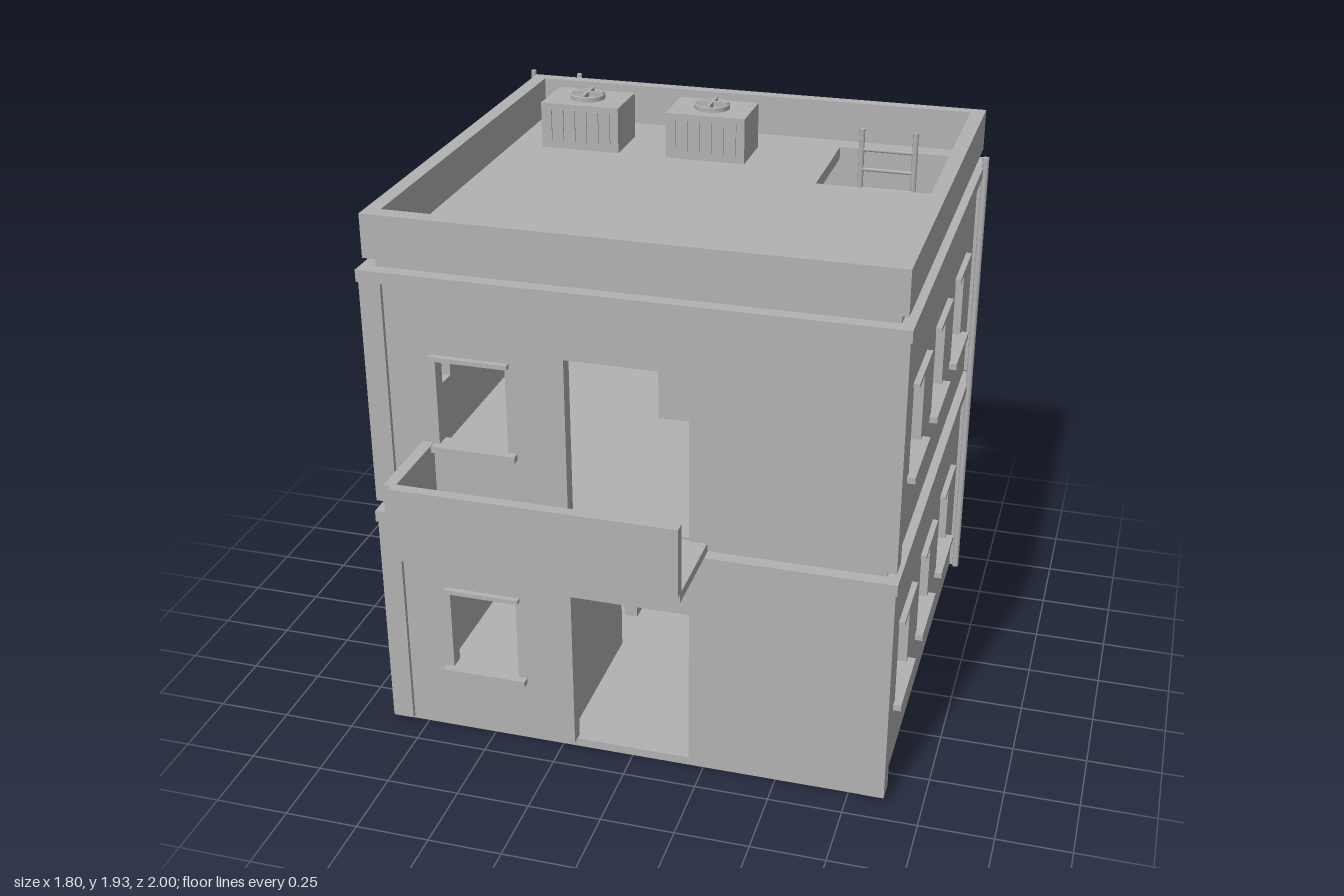
import * as THREE from 'three';

const CX = 0.005, CZ = -0.135;      // centre of the building
const HX = 0.87, HZ = 0.815;        // half sizes to the face of the corner posts
const RECESS = 0.015, THICK = 0.05; // wall panel inset and thickness
const FLOOR_H = 0.82;

const concrete = new THREE.MeshStandardMaterial({ color: 0xb2b2b2 });
concrete.name = 'concrete grey';

function add(parent, name, geometry) {
  const mesh = new THREE.Mesh(geometry, concrete);
  mesh.name = name;
  parent.add(mesh);
  return mesh;
}

// Box given by its limits on each axis
function box(parent, name, x0, x1, y0, y1, z0, z1) {
  const m = add(parent, name, new THREE.BoxGeometry(x1 - x0, y1 - y0, z1 - z0));
  m.position.set((x0 + x1) / 2, (y0 + y1) / 2, (z0 + z1) / 2);
  return m;
}

// Round bar between two points
function bar(parent, name, a, b, r, sides = 8) {
  const p = new THREE.Vector3(...a), q = new THREE.Vector3(...b);
  const m = add(parent, name, new THREE.CylinderGeometry(r, r, p.distanceTo(q), sides));
  m.position.copy(p).add(q).multiplyScalar(0.5);
  m.quaternion.setFromUnitVectors(new THREE.Vector3(0, 1, 0), q.sub(p).normalize());
  return m;
}

function rect(Type, x0, x1, y0, y1) {
  const s = new Type();
  s.moveTo(x0, y0);
  s.lineTo(x1, y0);
  s.lineTo(x1, y1);
  s.lineTo(x0, y1);
  s.closePath();
  return s;
}

// Horizontal slab or ring with rectangular holes [x0, x1, z0, z1]
function slab(parent, name, x0, x1, z0, z1, y0, y1, holes) {
  const s = rect(THREE.Shape, x0, x1, -z1, -z0);
  holes.forEach(h => s.holes.push(rect(THREE.Path, h[0], h[1], -h[3], -h[2])));
  const g = new THREE.ExtrudeGeometry(s, { depth: y1 - y0, bevelEnabled: false });
  g.rotateX(-Math.PI / 2);
  add(parent, name, g).position.y = y0;
}

// One wall with openings, sills and lintels; u runs along the wall, +z points out
function wall(name, half, dist, angle, windows, door) {
  const g = new THREE.Group();
  g.name = name;
  g.rotation.y = angle;
  const face = dist - RECESS, w = 0.1175, y0 = 0.235, y1 = 0.535;
  const s = new THREE.Shape();
  s.moveTo(-half + 0.02, 0);
  if (door) {
    s.lineTo(door[0], 0);
    s.lineTo(door[0], 0.585);
    s.lineTo(door[1], 0.585);
    s.lineTo(door[1], 0);
  }
  s.lineTo(half - 0.02, 0);
  s.lineTo(half - 0.02, FLOOR_H - 0.01);
  s.lineTo(-half + 0.02, FLOOR_H - 0.01);
  s.closePath();
  windows.forEach(u => s.holes.push(rect(THREE.Path, u - w, u + w, y0, y1)));
  add(g, 'wallPanel', new THREE.ExtrudeGeometry(s, { depth: THICK, bevelEnabled: false }))
    .position.z = face - THICK;
  windows.forEach(u => {
    box(g, 'windowSill', u - 0.148, u + 0.148, y0 - 0.022, y0, face - 0.01, dist + 0.012);
    box(g, 'windowLintel', u - 0.132, u + 0.132, y1, y1 + 0.015, face - 0.01, dist + 0.005);
  });
  return g;
}

// One storey: four walls, corner posts and the top band
function storey(name, y) {
  const g = new THREE.Group();
  g.name = name;
  g.position.set(CX, y, CZ);
  g.add(
    wall('frontWall', HX, HZ, 0, [-0.513 - CX], [-0.2 - CX, 0.205 - CX]),
    wall('rightWall', HZ, HX, Math.PI / 2, [0.333, -0.11, -0.55].map(z => CZ - z)),
    wall('backWall', HX, HZ, Math.PI, [-0.358, 0.083, 0.523].map(x => CX - x)),
    wall('leftWall', HZ, HX, -Math.PI / 2, [0.28, -0.16, -0.605].map(z => z - CZ))
  );
  for (const sx of [-1, 1]) for (const sz of [-1, 1]) {
    const p = box(g, 'cornerPost', -0.0365, 0.0365, 0, FLOOR_H - 0.04, -0.0365, 0.0365);
    p.position.x = sx * (HX - 0.0365);
    p.position.z = sz * (HZ - 0.0365);
  }
  const ix = HX - RECESS - THICK, iz = HZ - RECESS - THICK, o = 0.006;
  slab(g, 'topBand', -HX - o, HX + o, -HZ - o, HZ + o, FLOOR_H - 0.04, FLOOR_H, [[-ix, ix, -iz, iz]]);
  return g;
}

// Ladder with two rails, rungs and wall brackets
function ladder(name, x0, x1, y0, y1, z, zBracket, bracketYs) {
  const g = new THREE.Group();
  g.name = name;
  for (const x of [x0, x1]) {
    bar(g, 'ladderRail', [x, y0, z], [x, y1, z], 0.01);
    bracketYs.forEach(y => bar(g, 'ladderBracket', [x, y, z], [x, y, zBracket], 0.006, 6));
  }
  for (let y = y0 + 0.04; y < y1 - 0.02; y += 0.0725) {
    bar(g, 'ladderRung', [x0, y, z], [x1, y, z], 0.007, 6);
  }
  return g;
}

// Rooftop cooling unit with a fan on top and slats in front
function coolingUnit(x) {
  const g = new THREE.Group();
  g.name = 'coolingUnit';
  g.position.set(x, 1.745, -0.633);
  box(g, 'unitCase', -0.145, 0.145, 0, 0.165, -0.103, 0.103);
  const ring = add(g, 'fanRing', new THREE.CylinderGeometry(0.063, 0.063, 0.016, 24, 1, true));
  ring.position.y = 0.173;
  const rim = add(g, 'fanRim', new THREE.TorusGeometry(0.058, 0.006, 6, 24));
  rim.rotation.x = Math.PI / 2;
  rim.position.y = 0.178;
  add(g, 'fanPlate', new THREE.CylinderGeometry(0.056, 0.056, 0.01, 24)).position.y = 0.167;
  box(g, 'fanBlade', -0.058, 0.058, 0.17, 0.19, -0.006, 0.006);
  box(g, 'fanBlade', -0.006, 0.006, 0.17, 0.19, -0.058, 0.058);
  for (let i = 0; i < 6; i++) {
    const u = -0.11 + i * 0.044;
    box(g, 'ventSlat', u - 0.005, u + 0.005, 0.03, 0.145, 0.1, 0.109);
  }
  return g;
}

// Counter with a worktop and a tap
function counter(x0, x1, y0, y1, z0, z1, tapX, tapZ) {
  const g = new THREE.Group();
  g.name = 'counter';
  box(g, 'counterBase', x0, x1, y0, y1 - 0.02, z0, z1);
  box(g, 'counterTop', x0 - 0.012, x1 + 0.012, y1 - 0.02, y1, z0, z1 + 0.012);
  box(g, 'tapPost', tapX - 0.008, tapX + 0.008, y1, y1 + 0.088, tapZ - 0.008, tapZ + 0.008);
  box(g, 'tapSpout', tapX - 0.008, tapX + 0.008, y1 + 0.072, y1 + 0.088, tapZ, tapZ + 0.035);
  return g;
}

export function createModel() {
  const model = new THREE.Group();
  model.name = 'twoStoreyBuilding';

  // Base, storeys, floors and roof
  box(model, 'basePlinth', -0.82, 0.84, 0, 0.03, -0.91, 0.64);
  model.add(storey('lowerStorey', 0.03), storey('upperStorey', 0.888));
  slab(model, 'middleFloor', -0.82, 0.84, -0.91, 0.64, 0.845, 0.89, [[0.36, 0.77, -0.28, 0.14]]);
  slab(model, 'roof', -0.82, 0.84, -0.91, 0.64, 1.70, 1.745, [[0.36, 0.77, -0.82, -0.40]]);
  slab(model, 'roofParapet', -0.85, 0.865, -0.94, 0.67, 1.744, 1.89, [[-0.80, 0.815, -0.895, 0.615]]);

  // Rooms
  box(model, 'partitionBack', -0.28, -0.23, 0.03, 0.85, -0.89, -0.16);
  box(model, 'partitionFront', -0.28, -0.23, 0.03, 0.85, 0.03, 0.62);
  model.add(counter(0.14, 0.36, 0.03, 0.285, -0.89, -0.74, 0.18, -0.85));
  model.add(counter(-0.14, 0.0, 0.89, 1.135, -0.27, -0.16, -0.06, -0.225));
  box(model, 'lowCabinet', 0.3, 0.5, 0.03, 0.34, 0.23, 0.6);

  // Balcony, open on its left end
  const balcony = new THREE.Group();
  balcony.name = 'balcony';
  box(balcony, 'balconyFloor', -0.665, 0.265, 0.86, 0.892, 0.66, 0.98);
  box(balcony, 'balconySideWall', -0.69, -0.652, 0.89, 1.125, 0.66, 0.98);
  box(balcony, 'balconyFrontWall', -0.665, 0.265, 0.89, 1.125, 0.963, 1.0);
  model.add(balcony);

  // Ladders
  const ys = [0.08, 0.32, 0.55, 0.78, 1.02, 1.11, 1.25, 1.49, 1.72];
  model.add(
    ladder('outsideLadder', -0.88, -0.695, 0.05, 1.89, -0.99, -0.93, ys),
    ladder('lowerLadder', 0.47, 0.66, 0.03, 1.02, -0.11, -0.15, [0.38, 0.7]),
    ladder('roofLadder', 0.47, 0.66, 0.89, 1.875, -0.648, -0.69, [1.22, 1.55])
  );

  // Drain pipe and wall cabinet
  bar(model, 'drainPipe', [0.888, 0.05, -0.84], [0.888, 1.745, -0.84], 0.012, 12);
  box(model, 'wallCabinet', -0.905, -0.85, 0.03, 0.40, -0.905, -0.70);

  model.add(coolingUnit(-0.54), coolingUnit(-0.073));
  return model;
}
